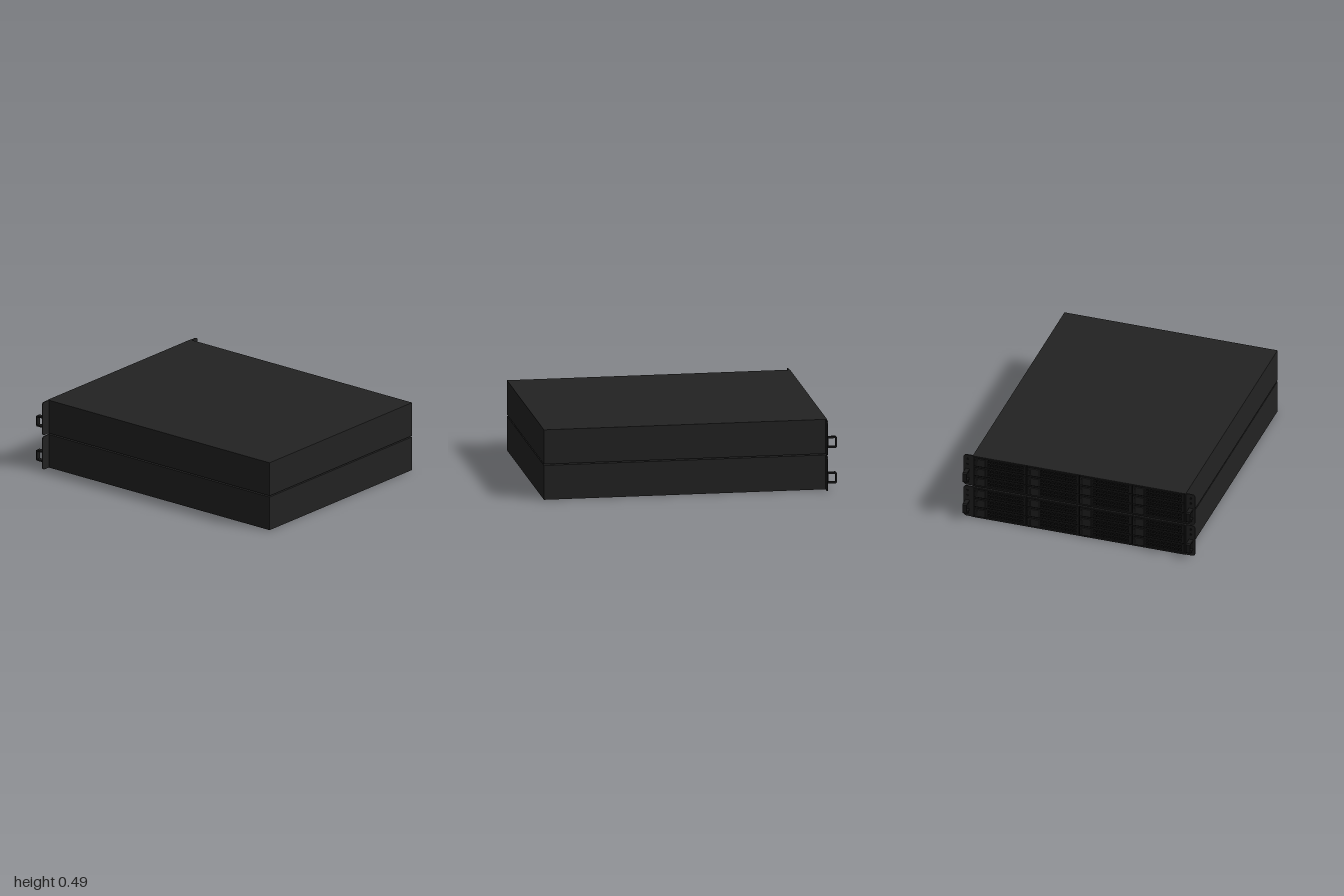
import * as THREE from 'three';

const mat = (name, color) => {
  const m = new THREE.MeshStandardMaterial({ color });
  m.name = name;
  return m;
};

export function createModel() {
  const metal = mat('dark metal', 0x222222);
  const trim = mat('black trim', 0x1a1a1a);
  const recess = mat('deep black', 0x0e0e0e);

  const add = (parent, name, geometry, material) => {
    const mesh = new THREE.Mesh(geometry, material);
    mesh.name = name;
    parent.add(mesh);
    return mesh;
  };
  // box given by its limits on each axis
  const box = (parent, name, material, x0, x1, y0, y1, z0, z1) => {
    const mesh = add(parent, name, new THREE.BoxGeometry(x1 - x0, y1 - y0, z1 - z0), material);
    mesh.position.set((x0 + x1) / 2, (y0 + y1) / 2, (z0 + z1) / 2);
    return mesh;
  };
  const rect = (target, x0, y0, x1, y1) => {
    target.moveTo(x0, y0);
    target.lineTo(x1, y0);
    target.lineTo(x1, y1);
    target.lineTo(x0, y1);
    target.closePath();
    return target;
  };
  const extrude = (shape, depth) =>
    new THREE.ExtrudeGeometry(shape, { depth, bevelEnabled: false, curveSegments: 4 });
  // a shape drawn in (z, y), extruded from plane x towards -x
  const facePlate = (parent, name, shape, depth, x, material) => {
    const mesh = add(parent, name, extrude(shape, depth).rotateY(-Math.PI / 2), material);
    mesh.position.x = x;
    return mesh;
  };

  const H = 0.238, colW = 0.377, rowH = 0.076;

  // perforated drive front with a frame and two rows of slots
  const driveShape = rect(new THREE.Shape(), 0.004, 0.004, colW - 0.004, rowH - 0.004);
  for (let i = 0; i < 10; i++) {
    for (let j = 0; j < 2; j++) {
      const z = 0.1 + i * 0.026, y = 0.013 + j * 0.028;
      driveShape.holes.push(rect(new THREE.Path(), z, y, z + 0.019, y + 0.021));
    }
  }

  // mounting ear with rounded outer corners
  const earShape = (s) => {
    const shape = new THREE.Shape();
    const r = 0.025, inner = 0.754 * s, outer = 0.827 * s, bend = outer - r * s;
    shape.moveTo(inner, 0);
    shape.lineTo(bend, 0);
    shape.quadraticCurveTo(outer, 0, outer, r);
    shape.lineTo(outer, H - r);
    shape.quadraticCurveTo(outer, H, bend, H);
    shape.lineTo(inner, H);
    shape.closePath();
    return shape;
  };

  // C-shaped pull handle with chamfered outer corners
  const handleShape = new THREE.Shape();
  [[-0.934, 0.05], [-0.992, 0.05], [-1, 0.058], [-1, 0.12], [-0.992, 0.128], [-0.934, 0.128]]
    .forEach(([x, y], i) => (i ? handleShape.lineTo(x, y) : handleShape.moveTo(x, y)));
  handleShape.closePath();
  handleShape.holes.push(rect(new THREE.Path(), -0.989, 0.061, -0.942, 0.117));

  const createUnit = (name) => {
    const unit = new THREE.Group();
    unit.name = name;
    box(unit, 'chassis', metal, -0.926, 1, 0, H, -0.76, 0.76);
    box(unit, 'bayBacking', recess, -0.93, -0.926, 0.004, H - 0.004, -0.754, 0.754);
    // rim around the drive bays
    const rim = rect(new THREE.Shape(), -0.76, 0, 0.76, H);
    rim.holes.push(rect(new THREE.Path(), -0.754, 0.005, 0.754, H - 0.005));
    facePlate(unit, 'bayRim', rim, 0.014, -0.926, metal);

    // four columns of three drives
    for (let c = 0; c < 4; c++) {
      for (let r = 0; r < 3; r++) {
        const drive = new THREE.Group();
        drive.name = 'drive';
        drive.position.set(0, 0.005 + r * rowH, -0.754 + c * colW);
        facePlate(drive, 'driveFront', driveShape, 0.01, -0.93, trim);
        box(drive, 'driveLatch', metal, -0.948, -0.94, 0.01, rowH - 0.01, 0.008, 0.085);
        box(drive, 'latchButton', trim, -0.951, -0.948, 0.02, rowH - 0.02, 0.014, 0.032);
        unit.add(drive);
      }
    }

    // ears, handles and controls on both sides
    for (const s of [-1, 1]) {
      facePlate(unit, 'mountingEar', earShape(s), 0.007, -0.929, metal);
      const handle = add(unit, 'pullHandle', extrude(handleShape, 0.03), trim);
      handle.position.z = s * 0.797 - 0.015;
      for (const y of [0.025, 0.165, 0.205]) {
        const button = add(unit, 'earButton', new THREE.CylinderGeometry(0.009, 0.009, 0.004, 12), recess);
        button.rotation.z = Math.PI / 2;
        button.position.set(-0.937, y, s * 0.795);
      }
    }
    return unit;
  };

  const model = new THREE.Group();
  model.name = 'stackedRackUnits';
  [0, 0.247].forEach((y, i) => {
    const unit = createUnit(i ? 'upperUnit' : 'lowerUnit');
    unit.position.y = y;
    model.add(unit);
  });
  return model;
}
